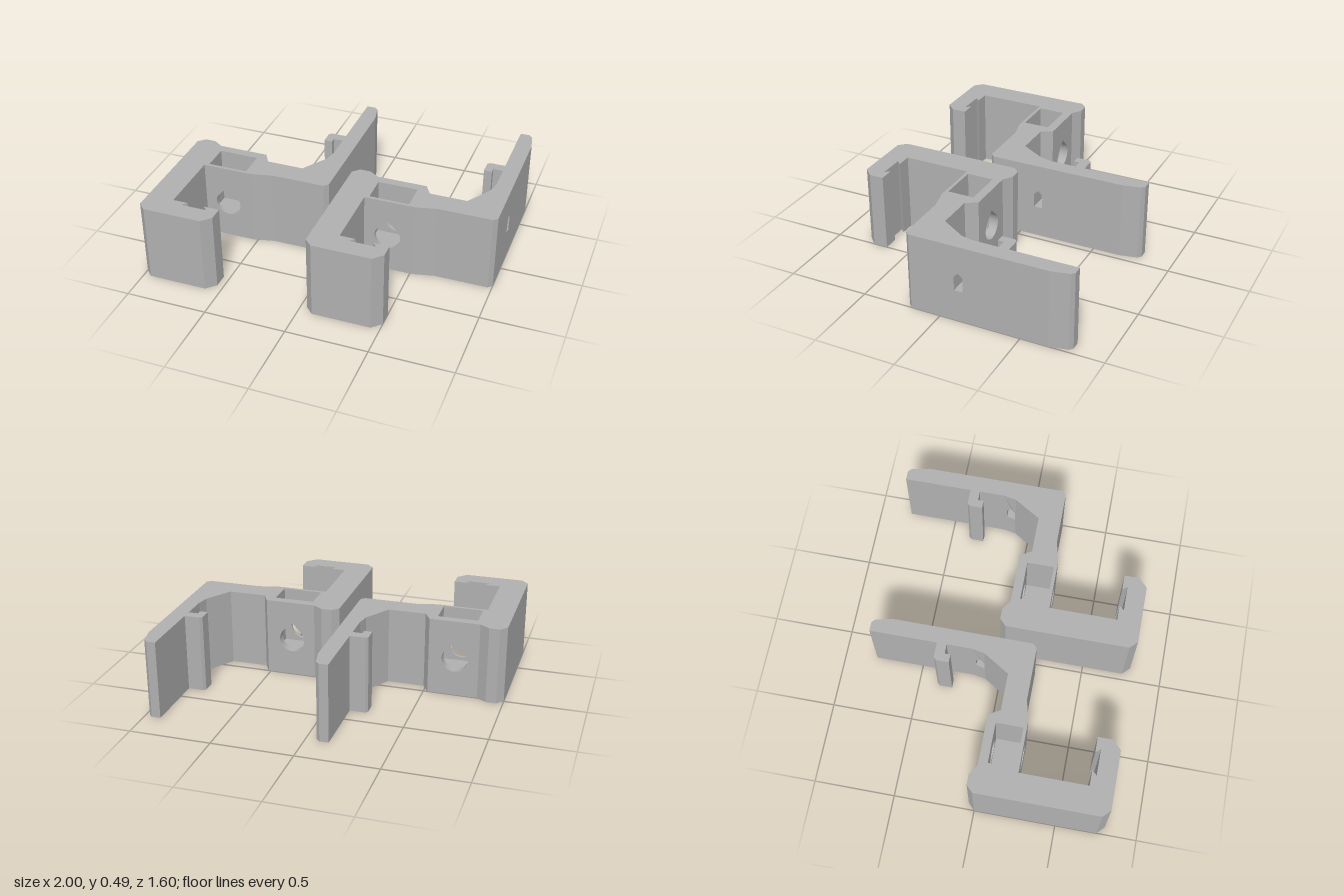
import * as THREE from 'three';

const H = 0.486;                        // bracket height
const POCKET = { x0: -0.81, x1: -0.565, z0: 0.055, z1: 0.22, floor: 0.135 };

const shapeOf = pts => new THREE.Shape(pts.map(([a, b]) => new THREE.Vector2(a, b)));

// Extrude an (x, z) outline upwards
function upright(points, height = H) {
  const geo = new THREE.ExtrudeGeometry(shapeOf(points.map(([x, z]) => [x, -z])),
    { depth: height, bevelEnabled: false });
  return geo.rotateX(-Math.PI / 2);
}

// Round hole with a 45 degree peak
function teardrop(cx, cy, r) {
  const path = new THREE.Path();
  path.absarc(cx, cy, r, Math.PI * 0.75, Math.PI * 2.25, false);
  path.lineTo(cx, cy + r * Math.SQRT2);
  path.closePath();
  return path;
}

// Pocket side wall, pierced by the screw hole
function pocketWall(z0, z1) {
  const { x0, x1, floor } = POCKET;
  const shape = shapeOf([[x0, floor], [x1, floor], [x1, H], [x0, H]]);
  shape.holes.push(teardrop((x0 + x1) / 2, 0.237, 0.08));
  const geo = new THREE.ExtrudeGeometry(shape, { depth: z1 - z0, bevelEnabled: false, curveSegments: 32 });
  return geo.translate(0, 0, z0);
}

// Piece of the long arm with the small pointed slot
function slottedPlate(zBack, zFront) {
  const shape = shapeOf([[-zFront, 0], [-zBack, 0], [-zBack, H], [-zFront, H]]);
  shape.holes.push(new THREE.Path([[0.095, 0.2], [0.15, 0.2], [0.15, 0.288], [0.1225, 0.315], [0.095, 0.288]]
    .map(([a, b]) => new THREE.Vector2(a, b))));
  const geo = new THREE.ExtrudeGeometry(shape, { depth: 0.1, bevelEnabled: false });
  geo.rotateY(Math.PI / 2).translate(-0.14, 0, 0);
  // inner face follows the slanted elbow
  const p = geo.attributes.position;
  for (let i = 0; i < p.count; i++) {
    if (p.getX(i) < -0.1) p.setX(i, Math.min(-0.14, -0.14 - (p.getZ(i) + 0.115) * 0.62));
  }
  geo.computeVertexNormals();
  return geo;
}

export function createModel() {
  const grey = new THREE.MeshStandardMaterial({ color: 0xb0b0b0 });
  grey.name = 'grey plastic';
  const { x0, x1, z0, z1, floor } = POCKET;

  const parts = {
    // front leg with chamfered corners and a dovetail groove in its foot
    hookedLeg: upright([
      [-1, 0], [-0.96, -0.04], [-0.895, -0.04], [-0.835, 0], [x0, 0], [x0, 0.24], [-0.835, 0.24],
      [-0.835, 0.655], [-0.742, 0.655], [-0.767, 0.685], [-0.61, 0.685], [-0.635, 0.655],
      [-0.54, 0.655], [-0.54, 0.745], [-0.595, 0.8], [-0.955, 0.8], [-1, 0.755],
    ]),
    // nut pocket in the crossbar
    pocketFloor: upright([[x0, 0], [x1, 0], [x1, 0.24], [x0, 0.24]], floor),
    pocketBackWall: pocketWall(0, z0),
    pocketFrontWall: pocketWall(z1, 0.24),
    // thinner crossbar bending into the arm
    elbow: upright([
      [x1, 0], [-0.525, 0], [-0.485, 0.07], [-0.255, 0.07], [-0.1555, -0.09], [-0.04, -0.09],
      [-0.04, 0.185], [-0.065, 0.21], [-0.395, 0.21], [-0.525, 0.24], [x1, 0.24],
    ]),
    slottedPlate: slottedPlate(-0.17, -0.09),
    // rear arm with a small inward catch
    rearArm: upright([
      [-0.14, -0.17], [-0.14, -0.325], [-0.2, -0.325], [-0.2, -0.29], [-0.25, -0.29], [-0.25, -0.37],
      [-0.235, -0.385], [-0.14, -0.385], [-0.14, -0.8], [-0.085, -0.8], [-0.063, -0.78],
      [-0.04, -0.67], [-0.04, -0.17],
    ]),
  };

  // two identical brackets side by side
  const model = new THREE.Group();
  model.name = 'bracketPair';
  [['rightBracket', 0], ['leftBracket', 1.04]].forEach(([name, offset]) => {
    const bracket = new THREE.Group();
    bracket.name = name;
    bracket.position.x = offset;
    for (const [part, geo] of Object.entries(parts)) {
      const mesh = new THREE.Mesh(geo, grey);
      mesh.name = part;
      bracket.add(mesh);
    }
    model.add(bracket);
  });
  return model;
}
